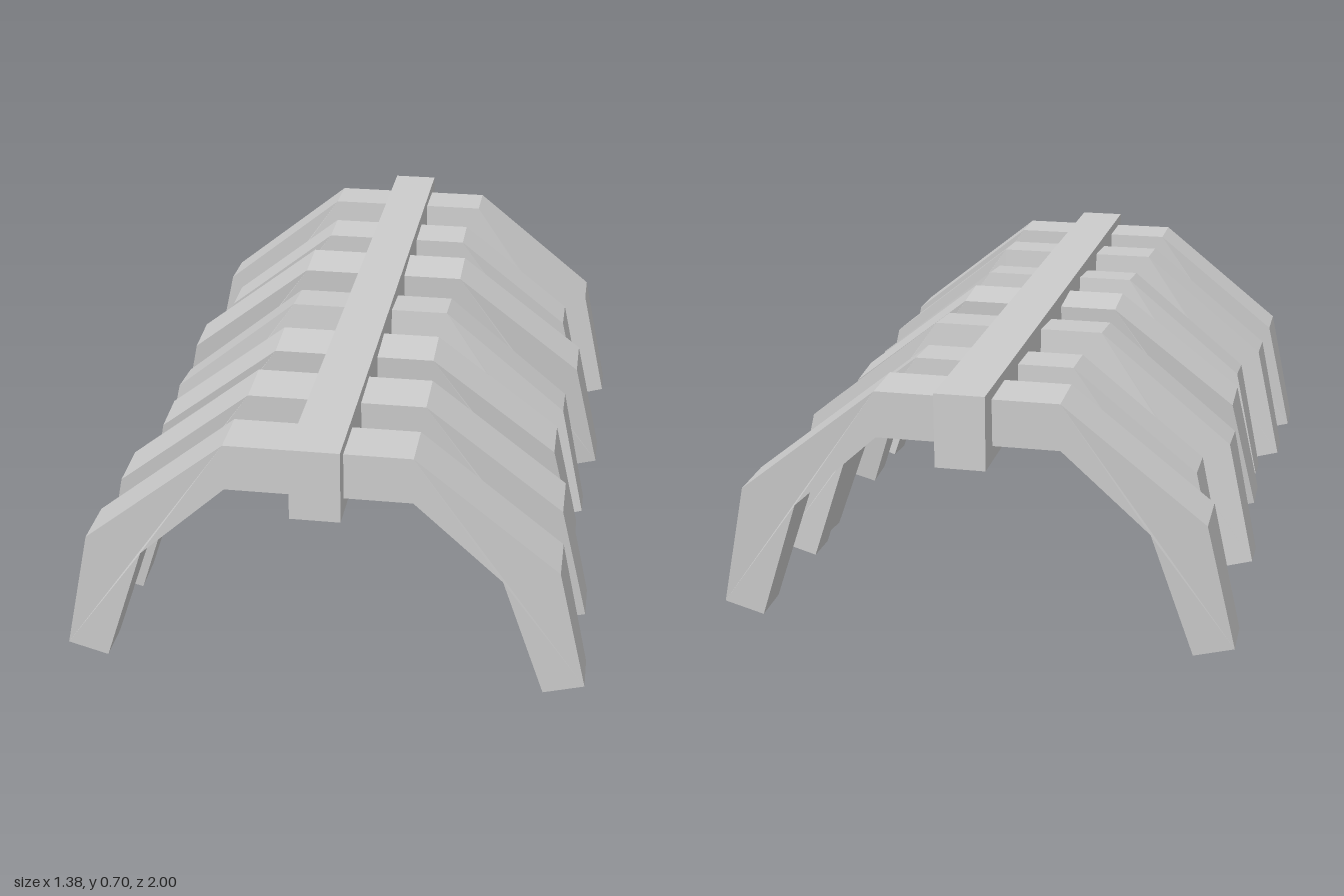
import * as THREE from 'three';

const bone = new THREE.MeshStandardMaterial({ color: 0xcccccc });
bone.name = 'bone grey';

const PIVOT_Y = 0.608; // height of the spine's centre line

// Angular arch, tapered in depth towards the feet, with the spine as its origin
function ribGeometry() {
  const half = [[0.24, 0.678], [0.613, 0.38], [0.69, 0.035], [0.583, 0.005], [0.47, 0.343], [0.24, 0.553]];
  const mirrored = half.map(([x, y]) => [-x, y]).reverse();
  const outline = [...half, ...mirrored].map(([x, y]) => new THREE.Vector2(x, y - PIVOT_Y));
  const geometry = new THREE.ExtrudeGeometry(new THREE.Shape(outline), { depth: 0.144, bevelEnabled: false });
  geometry.translate(0, 0, -0.072);
  const p = geometry.attributes.position;
  for (let i = 0; i < p.count; i++) {
    if (p.getY(i) < -0.5) p.setZ(i, p.getZ(i) * 0.8);
  }
  geometry.computeVertexNormals();
  return geometry;
}

export function createModel() {
  const model = new THREE.Group();
  model.name = 'ribcage';

  // Straight beam along the back
  const spine = new THREE.Mesh(new THREE.BoxGeometry(0.13, 0.194, 2), bone);
  spine.name = 'spine';
  spine.position.y = PIVOT_Y;
  model.add(spine);

  // Ribs from front to back: z, size, lean
  const ribs = [
    [0.88, 1, 0],
    [0.588, 0.985, 0.055],
    [0.297, 0.92, 0.09],
    [0.014, 0.94, -0.09],
    [-0.278, 0.985, 0.08],
    [-0.572, 0.89, 0.03],
    [-0.858, 0.993, -0.03],
  ];
  const geometry = ribGeometry();
  ribs.forEach(([z, size, lean], i) => {
    const rib = new THREE.Mesh(geometry, bone);
    rib.name = `rib${i + 1}`;
    rib.position.set(0, PIVOT_Y, z);
    rib.scale.setScalar(size);
    rib.rotation.x = lean;
    model.add(rib);
  });

  return model;
}
